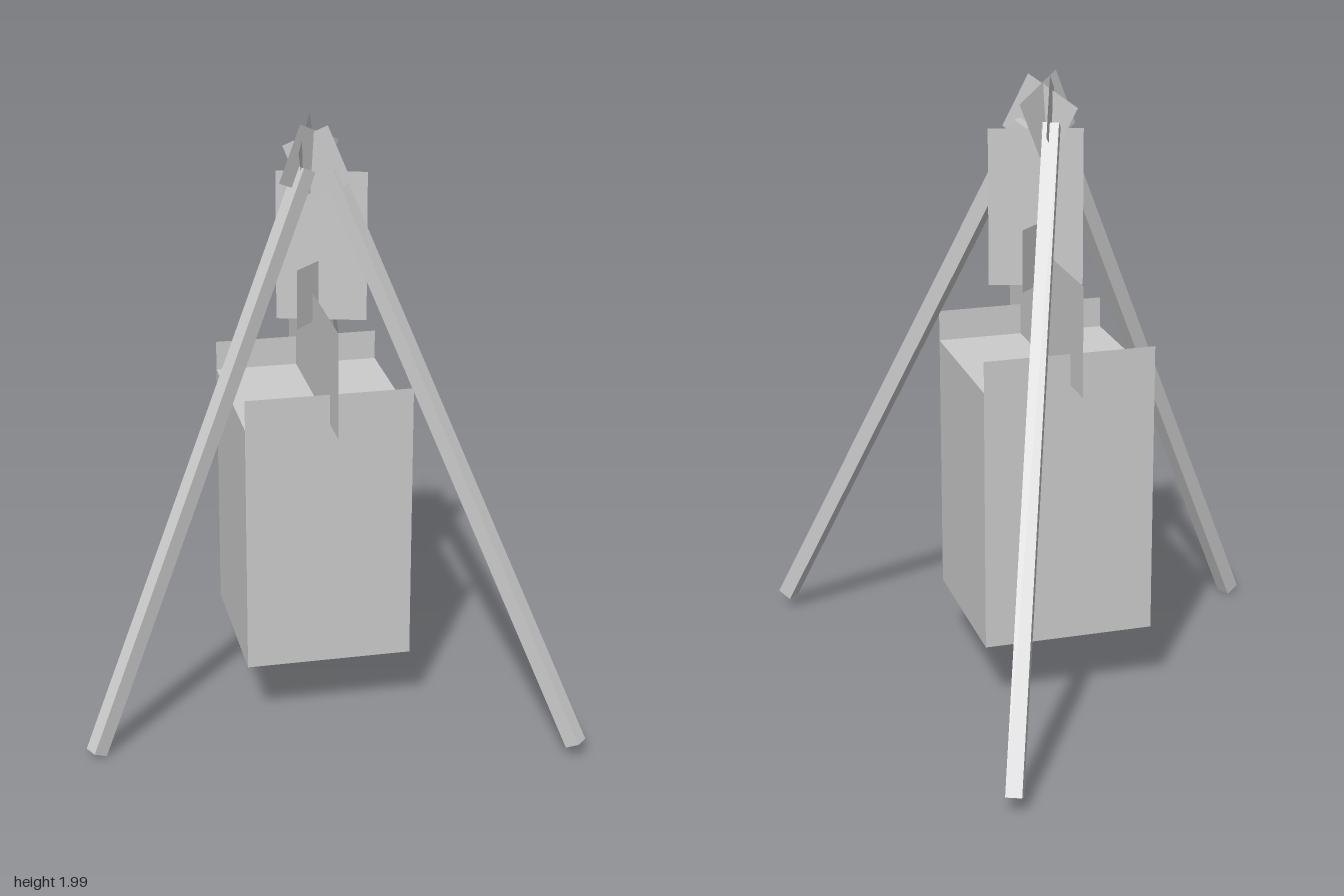
import * as THREE from 'three';

export function createModel() {
  const model = new THREE.Group();
  const solid = new THREE.MeshStandardMaterial({ color: 0xcccccc, flatShading: true });
  const sheet = new THREE.MeshStandardMaterial({ color: 0xcccccc, flatShading: true, side: THREE.DoubleSide });

  function add(parent, name, geometry, material, x, y, z, yaw = 0) {
    const mesh = new THREE.Mesh(geometry, material);
    mesh.name = name;
    mesh.position.set(x, y, z);
    mesh.rotation.y = yaw;
    parent.add(mesh);
    return mesh;
  }
  const card = (w, h) => new THREE.PlaneGeometry(w, h);

  // Tripod: three square poles, each with a flat lashing card at the apex
  const legs = [
    { name: 'right', foot: [-0.803, 0.015, -0.122], top: [0.045, 1.84, -0.122], lash: [0.065, 1.86, -0.128], twist: 0.16 },
    { name: 'frontLeft', foot: [0.45, 0.052, 0.81], top: [0.115, 1.83, -0.075], lash: [0.085, 1.85, -0.113], twist: 0 },
    { name: 'backLeft', foot: [0.795, 0.05, -0.81], top: [0.1, 1.84, -0.185], lash: [0.088, 1.865, -0.17], twist: 0 },
  ];
  for (const leg of legs) {
    const foot = new THREE.Vector3(...leg.foot);
    const top = new THREE.Vector3(...leg.top);
    const along = top.clone().sub(foot);
    const length = along.length();
    along.normalize();
    const normal = new THREE.Vector3().crossVectors(along, new THREE.Vector3(0, 1, 0)).normalize();
    const across = new THREE.Vector3().crossVectors(along, normal);
    const turn = new THREE.Quaternion().setFromRotationMatrix(
      new THREE.Matrix4().makeBasis(across, along, normal));
    const mid = foot.clone().lerp(top, 0.5);
    add(model, leg.name + 'Pole', new THREE.BoxGeometry(0.05, length, 0.05), solid, mid.x, mid.y, mid.z)
      .quaternion.copy(turn);
    const lashing = add(model, leg.name + 'Lashing', card(0.195, 0.195), sheet, ...leg.lash);
    lashing.quaternion.copy(turn);
    lashing.rotateY(leg.twist);
  }

  // Rope hanging from the apex and the hook crossing its lower end
  add(model, 'rope', card(0.295, 0.5), sheet, 0.112, 1.57, -0.125, -0.7);
  add(model, 'hook', card(0.225, 0.2), sheet, 0.095, 1.42, -0.128, 0.335);

  // Bucket, turned about the vertical
  const bucket = new THREE.Group();
  bucket.name = 'bucket';
  bucket.position.set(0.075, 0, -0.125);
  bucket.rotation.y = -0.432;
  model.add(bucket);
  const side = 0.55, half = side / 2, base = 0.22;
  for (const s of [1, -1]) {
    add(bucket, s > 0 ? 'frontWall' : 'backWall', card(side, 0.95), sheet, 0, base + 0.475, s * half);
    add(bucket, s > 0 ? 'leftWall' : 'rightWall', card(0.85, 0.85).scale(side / 0.85, 1, 1), sheet,
      s * half, base + 0.425, 0, Math.PI / 2);
  }
  // Surface of the contents and the raised floor
  add(bucket, 'contents', card(side, side).rotateX(-Math.PI / 2), sheet, 0, 1.07, 0);
  add(bucket, 'floor', card(side, side).rotateX(Math.PI / 2), sheet, 0, base + 0.15, 0);
  // Flat handle running front to back over the rim
  add(bucket, 'handle', card(0.805, 0.35), sheet, 0, 1.245, 0, Math.PI / 2);

  return model;
}
